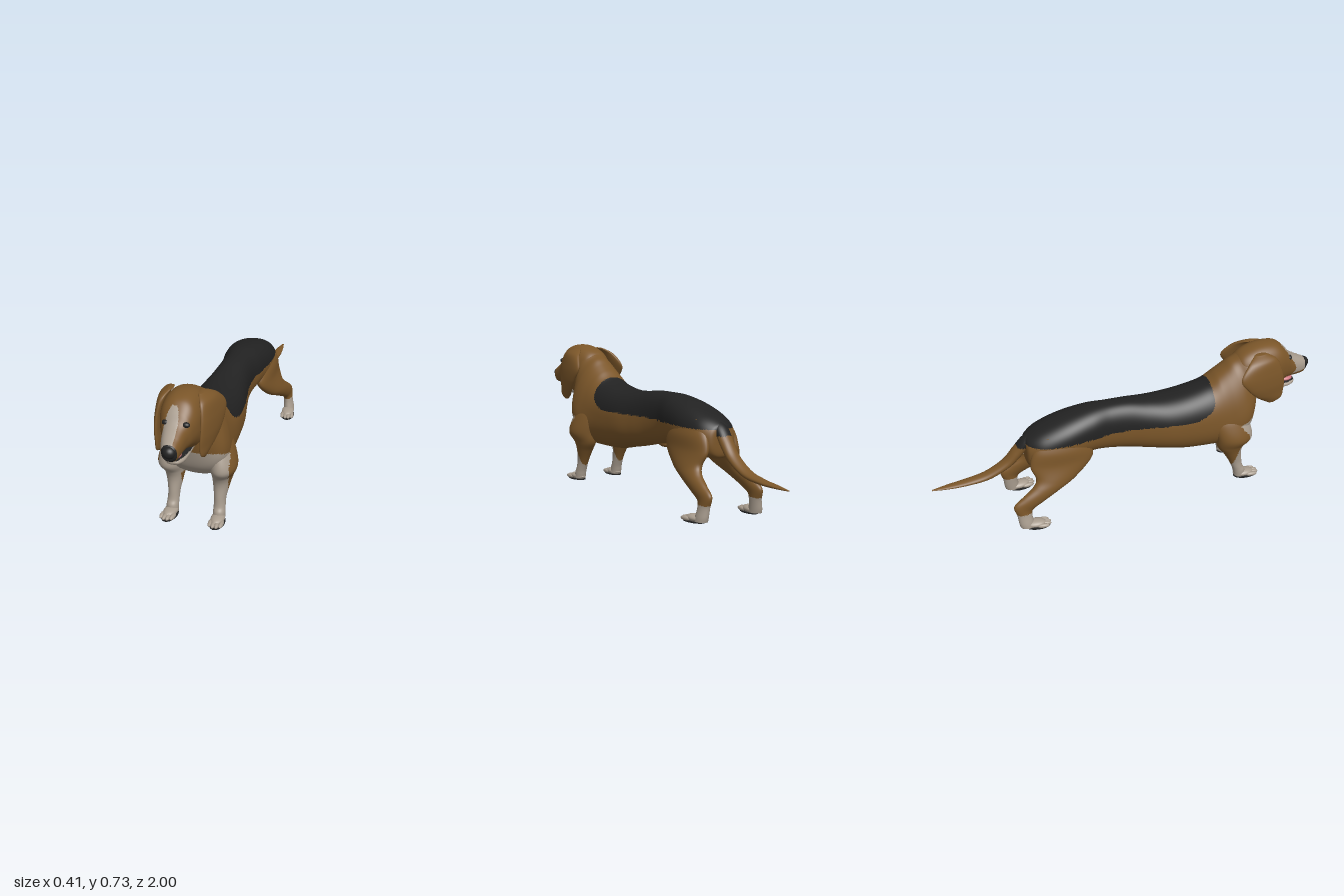
import * as THREE from 'three';

const mat = (name, color) => Object.assign(new THREE.MeshStandardMaterial({ color }), { name });

// Closed smooth skin through rings. Each ring: [z1, y1, z2, y2, halfWidth, centreX, bias, slant]
// spans from point 1 to point 2; bias widens the second end, slant moves it sideways.
function loft(rings, steps, sides, power = 2) {
  const pos = [], index = [], rows = (rings.length - 1) * steps;
  const at = (i, k) => rings[Math.min(Math.max(i, 0), rings.length - 1)][k] || 0;
  const se = v => Math.sign(v) * Math.abs(v) ** (2 / power);
  for (let r = 0; r <= rows; r++) {
    const i = Math.min(Math.floor(r / steps), rings.length - 2), t = r / steps - i;
    const [z1, y1, z2, y2, w, cx, bias, slant] = [0, 1, 2, 3, 4, 5, 6, 7].map(k => {
      const a = at(i - 1, k), b = at(i, k), c = at(i + 1, k), d = at(i + 2, k);
      return b + 0.5 * t * (c - a + t * (2 * a - 5 * b + 4 * c - d + t * (3 * (b - c) + d - a)));
    });
    for (let j = 0; j < sides; j++) {
      const q = j / sides * Math.PI * 2, s = se(Math.sin(q)), c = se(Math.cos(q));
      pos.push(cx + w * c * (1 - bias * s) - slant * s / 2,
        (y1 + y2) / 2 + s * (y1 - y2) / 2, (z1 + z2) / 2 + s * (z1 - z2) / 2);
    }
  }
  for (let r = 0; r < rows; r++) for (let j = 0; j < sides; j++) {
    const a = r * sides + j, b = r * sides + (j + 1) % sides;
    index.push(a, b, a + sides, b, b + sides, a + sides);
  }
  // End caps
  for (const [row, flip] of [[0, true], [rows, false]]) {
    const n = pos.length / 3, mid = [0, 0, 0];
    for (let j = 0; j < sides; j++) for (let k = 0; k < 3; k++) mid[k] += pos[(row * sides + j) * 3 + k] / sides;
    pos.push(...mid);
    for (let j = 0; j < sides; j++) {
      const a = row * sides + j, b = row * sides + (j + 1) % sides;
      index.push(n, flip ? b : a, flip ? a : b);
    }
  }
  // Turn the skin outward if its signed volume is negative
  const P = i => new THREE.Vector3(pos[3 * i], pos[3 * i + 1], pos[3 * i + 2]);
  let volume = 0;
  for (let i = 0; i < index.length; i += 3) volume += P(index[i]).dot(P(index[i + 1]).cross(P(index[i + 2])));
  if (volume < 0) index.reverse();
  const g = new THREE.BufferGeometry();
  g.setAttribute('position', new THREE.Float32BufferAttribute(pos, 3));
  g.setIndex(index);
  g.computeVertexNormals();
  return g;
}

// Sort faces into material groups by a rule on the face centre
function paint(g, rule) {
  const p = g.attributes.position, src = g.index.array, buckets = [[], [], []];
  for (let i = 0; i < src.length; i += 3) {
    const f = [src[i], src[i + 1], src[i + 2]];
    const m = k => (p.getComponent(f[0], k) + p.getComponent(f[1], k) + p.getComponent(f[2], k)) / 3;
    buckets[rule(m(0), m(1), m(2))].push(...f);
  }
  g.setIndex(buckets.flat());
  let start = 0;
  buckets.forEach((b, i) => { if (b.length) g.addGroup(start, b.length, i); start += b.length; });
  return g;
}

const ball = (x, y, z, rx, ry, rz, n = 24) =>
  new THREE.SphereGeometry(1, n, Math.ceil(n * 0.7)).scale(rx, ry, rz).translate(x, y, z);

export function createModel() {
  const dog = new THREE.Group();
  dog.name = 'dog';
  const brown = mat('brown coat', 0x7b5629), black = mat('black coat', 0x222222);
  const white = mat('white coat', 0xa89c8e), pink = mat('pink tongue', 0xc9747c);
  const coat = [brown, black, white];
  const add = (name, geometry, material, parent = dog) => {
    const m = new THREE.Mesh(geometry, material);
    m.name = name;
    parent.add(m);
  };

  // Torso and neck, with a black saddle and a white chest
  const chest = (x, y, z) => z > 0.53 && (x / 0.168) ** 4 + ((y - 0.295) / 0.091) ** 4 < 1;
  const bodyRule = (x, y, z) => {
    const front = 0.43 - 0.1 * Math.max(0, (0.54 - y) / 0.125) ** 4;
    if (y > 0.413 && z < front && z > -0.57) return 1;
    return chest(x, y, z) ? 2 : 0;
  };
  add('body', paint(loft([
    [-0.53, 0.42, -0.53, 0.34, 0.03],
    [-0.515, 0.44, -0.52, 0.28, 0.075],
    [-0.45, 0.475, -0.45, 0.27, 0.112],
    [-0.33, 0.515, -0.33, 0.285, 0.12],
    [-0.2, 0.54, -0.2, 0.3, 0.106],
    [-0.1, 0.543, -0.1, 0.287, 0.09],
    [0, 0.54, 0, 0.268, 0.093],
    [0.1, 0.528, 0.1, 0.245, 0.11],
    [0.2, 0.522, 0.2, 0.225, 0.13],
    [0.3, 0.53, 0.3, 0.205, 0.138],
    [0.41, 0.556, 0.43, 0.2, 0.144, 0, 0.08],
    [0.47, 0.6, 0.53, 0.205, 0.15, 0, 0.2],
    [0.51, 0.63, 0.59, 0.235, 0.152, 0, 0.27],
    [0.54, 0.655, 0.64, 0.29, 0.142, 0, 0.3],
    [0.57, 0.67, 0.67, 0.37, 0.12, 0, 0.22],
    [0.61, 0.69, 0.685, 0.44, 0.1],
    [0.66, 0.7, 0.69, 0.48, 0.088],
  ], 14, 108, 2.3), bodyRule), coat);
  add('sheath', ball(0, 0.275, -0.05, 0.014, 0.014, 0.045), brown);

  // Tail
  add('tail', paint(loft([
    [-0.45, 0.47, -0.48, 0.385, 0.04],
    [-0.53, 0.432, -0.51, 0.375, 0.038, 0.003],
    [-0.585, 0.37, -0.555, 0.32, 0.036, 0.008],
    [-0.64, 0.305, -0.61, 0.27, 0.034, 0.01],
    [-0.73, 0.252, -0.715, 0.218, 0.031, 0.012],
    [-0.83, 0.23, -0.825, 0.204, 0.026, 0.013],
    [-0.92, 0.22, -0.92, 0.203, 0.018, 0.013],
    [-1, 0.211, -1, 0.206, 0.004, 0.013],
  ], 10, 28), (x, y, z) => (z > -0.57 && y > 0.385 ? 1 : 0)), coat);

  // Head, turned slightly to its left, with a white blaze and dark lips
  const head = new THREE.Group();
  head.name = 'head';
  dog.add(head);
  const headRule = (x, y, z) => {
    if (z > 0.968 || (z > 0.83 && y < 0.504)) return 1;
    const narrow = 0.014 * Math.max(0, (y - 0.64) / 0.05) ** 2;
    const widen = 0.1 * Math.min(0.07, Math.max(0, 0.65 - y));
    return z > 0.76 && y > 0.53 && y < 0.696 && x > -0.032 - widen + narrow && x < 0.027 + widen - narrow ? 2 : 0;
  };
  add('skull', paint(loft([
    [0.55, 0.64, 0.58, 0.5, 0.055],
    [0.6, 0.69, 0.62, 0.465, 0.088],
    [0.67, 0.718, 0.68, 0.45, 0.1, 0.002],
    [0.74, 0.725, 0.75, 0.455, 0.098, 0.004],
    [0.8, 0.713, 0.8, 0.48, 0.089, 0.007],
    [0.845, 0.675, 0.84, 0.495, 0.074, 0.01],
    [0.88, 0.635, 0.88, 0.5, 0.058, 0.012],
    [0.93, 0.603, 0.93, 0.499, 0.047, 0.015],
    [0.968, 0.583, 0.96, 0.5, 0.037, 0.019],
    [0.988, 0.568, 0.978, 0.513, 0.025, 0.02],
  ], 16, 100, 2.35), headRule), coat, head);
  add('nose', ball(0.021, 0.551, 0.972, 0.03, 0.028, 0.028), black, head);
  add('lowerJaw', paint(loft([
    [0.74, 0.49, 0.74, 0.45, 0.05, 0.006],
    [0.82, 0.483, 0.82, 0.449, 0.049, 0.008],
    [0.875, 0.479, 0.87, 0.447, 0.044, 0.008],
    [0.908, 0.477, 0.903, 0.453, 0.029, 0.009],
    [0.916, 0.473, 0.914, 0.461, 0.01, 0.01],
  ], 8, 40, 2.3), (x, y) => (y > 0.474 ? 1 : 2)), coat, head);
  add('tongue', ball(0.008, 0.484, 0.868, 0.03, 0.014, 0.04), pink, head);

  for (const s of [1, -1]) {
    const side = s > 0 ? 'left' : 'right';
    add(side + 'Eye', ball(0.014 + s * 0.045, 0.63, 0.861, 0.018, 0.012, 0.014), black, head);

    // Hanging ear, flaring out toward its back edge
    add(side + 'Ear', loft([
      [0.71, 0.707, 0.65, 0.705, 0.012, s * 0.07],
      [0.76, 0.68, 0.6, 0.674, 0.022, s * 0.1, 0, s * 0.02],
      [0.789, 0.615, 0.555, 0.61, 0.02, s * 0.12, 0, s * 0.035],
      [0.806, 0.545, 0.597, 0.545, 0.017, s * 0.122, 0, s * 0.037],
      [0.807, 0.49, 0.648, 0.49, 0.014, s * 0.115, 0, s * 0.028],
      [0.798, 0.45, 0.69, 0.455, 0.011, s * 0.108, 0, s * 0.01],
      [0.762, 0.428, 0.73, 0.428, 0.004, s * 0.105],
    ], 10, 32), brown, head);

    // Front leg, from the shoulder down: white in front and below
    add(side + 'FrontLeg', paint(loft([
      [0.57, 0.43, 0.44, 0.43, 0.015, s * 0.108],
      [0.615, 0.36, 0.43, 0.36, 0.045, s * 0.117],
      [0.637, 0.27, 0.445, 0.28, 0.062, s * 0.126],
      [0.6, 0.215, 0.455, 0.22, 0.051, s * 0.117],
      [0.588, 0.17, 0.49, 0.17, 0.04, s * 0.114],
      [0.595, 0.11, 0.525, 0.11, 0.029, s * 0.113],
      [0.602, 0.07, 0.547, 0.06, 0.028, s * 0.114],
      [0.615, 0.045, 0.555, 0.03, 0.029, s * 0.115],
      [0.62, 0.008, 0.56, 0.008, 0.029, s * 0.115],
    ], 10, 40), (x, y, z) =>
      (y < 0.07 || chest(x, y, z) || (y < 0.225 && z > 0.57 - 0.25 * (0.22 - y)) ? 2 : 0)), coat);

    // Hind leg: broad thigh, hock and white foot
    add(side + 'HindLeg', paint(loft([
      [-0.27, 0.46, -0.45, 0.455, 0.033, s * 0.065],
      [-0.22, 0.38, -0.505, 0.385, 0.049, s * 0.079],
      [-0.21, 0.31, -0.525, 0.31, 0.045, s * 0.09],
      [-0.3, 0.228, -0.505, 0.25, 0.043, s * 0.112],
      [-0.39, 0.18, -0.525, 0.212, 0.036, s * 0.13],
      [-0.48, 0.133, -0.585, 0.17, 0.028, s * 0.143],
      [-0.535, 0.1, -0.632, 0.13, 0.023, s * 0.148],
      [-0.545, 0.07, -0.62, 0.075, 0.024, s * 0.152],
      [-0.54, 0.03, -0.615, 0.03, 0.028, s * 0.158],
      [-0.535, 0.008, -0.61, 0.008, 0.029, s * 0.16],
    ], 10, 40), (x, y) => (y < 0.085 ? 2 : 0)), coat);

    // Paws: instep, four toes and a dark sole, the hind ones turned outward
    for (const [name, x, z, turn] of [['Front', s * 0.117, 0.628, 0.05], ['Hind', s * 0.165, -0.518, 0.14]]) {
      const paw = new THREE.Group();
      paw.name = side + name + 'Paw';
      paw.position.set(x, 0, z);
      paw.rotation.y = s * turn;
      dog.add(paw);
      add('instep', ball(0, 0.018, -0.018, 0.033, 0.019, 0.055), white, paw);
      for (const t of [-1.5, -0.5, 0.5, 1.5])
        add('toe', ball(t * 0.017, 0.013, 0.036 - Math.abs(t) * 0.01, 0.0115, 0.0115, 0.032, 16), white, paw);
      add('sole', new THREE.CylinderGeometry(1, 1, 0.005, 32).scale(0.036, 1, 0.064).translate(0, 0.0025, -0.006), black, paw);
    }
  }
  return dog;
}
